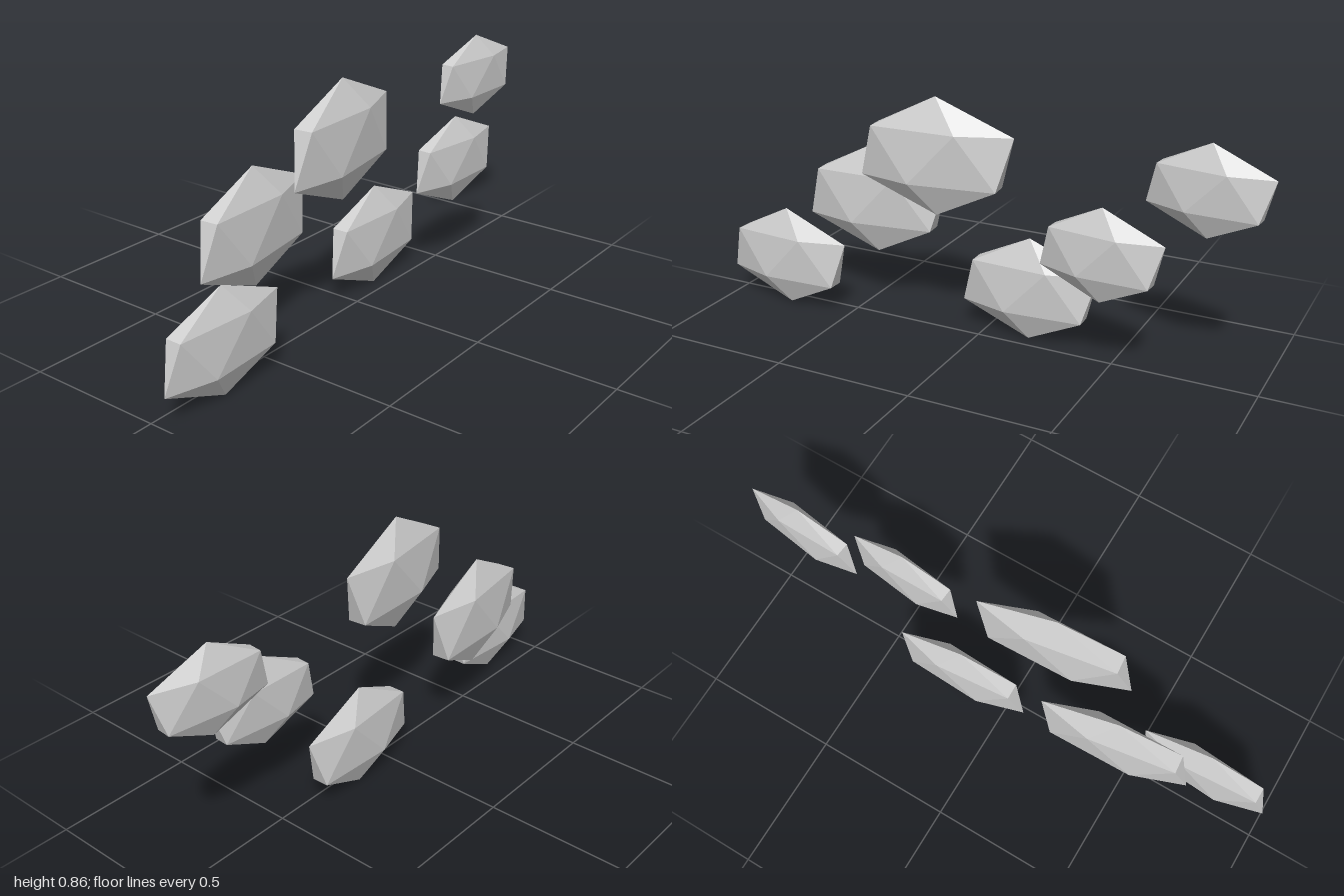
import * as THREE from 'three';

// centre x, y, z, half sizes rx, ry, and yaw of each faceted stone
const STONES = [
  { name: 'leftRowLowStone', pos: [-0.752, 0.19, 0.066], rx: 0.277, ry: 0.185, yaw: -0.01 },
  { name: 'leftRowMiddleStone', pos: [-0.447, 0.422, -0.073], rx: 0.306, ry: 0.207, yaw: 0.085 },
  { name: 'leftRowHighStone', pos: [-0.138, 0.654, 0.045], rx: 0.313, ry: 0.209, yaw: 0.095 },
  { name: 'rightRowLowStone', pos: [0.17, 0.19, -0.053], rx: 0.281, ry: 0.188, yaw: 0.02 },
  { name: 'rightRowMiddleStone', pos: [0.479, 0.421, 0.083], rx: 0.244, ry: 0.164, yaw: -0.07 },
  { name: 'rightRowHighStone', pos: [0.788, 0.653, -0.028], rx: 0.237, ry: 0.157, yaw: -0.09 },
];
const THICKNESS = 0.2; // depth relative to half width

// Icosahedron standing on a corner, with an upper-ring corner on +x
function stoneGeometry() {
  const golden = (1 + Math.sqrt(5)) / 2;
  const geometry = new THREE.IcosahedronGeometry(1, 0);
  geometry.rotateX(-Math.atan(golden));
  geometry.rotateY(Math.PI / 2);
  return geometry;
}

export function createModel() {
  const model = new THREE.Group();
  model.name = 'floatingStones';
  const stoneGrey = new THREE.MeshStandardMaterial({ color: 0xcfcfcf, flatShading: true });
  stoneGrey.name = 'stoneGrey';

  const geometry = stoneGeometry();
  for (const { name, pos, rx, ry, yaw } of STONES) {
    const stone = new THREE.Mesh(geometry, stoneGrey);
    stone.name = name;
    stone.position.set(...pos);
    stone.scale.set(rx, ry, rx * THICKNESS);
    stone.rotation.y = yaw;
    model.add(stone);
  }
  return model;
}
